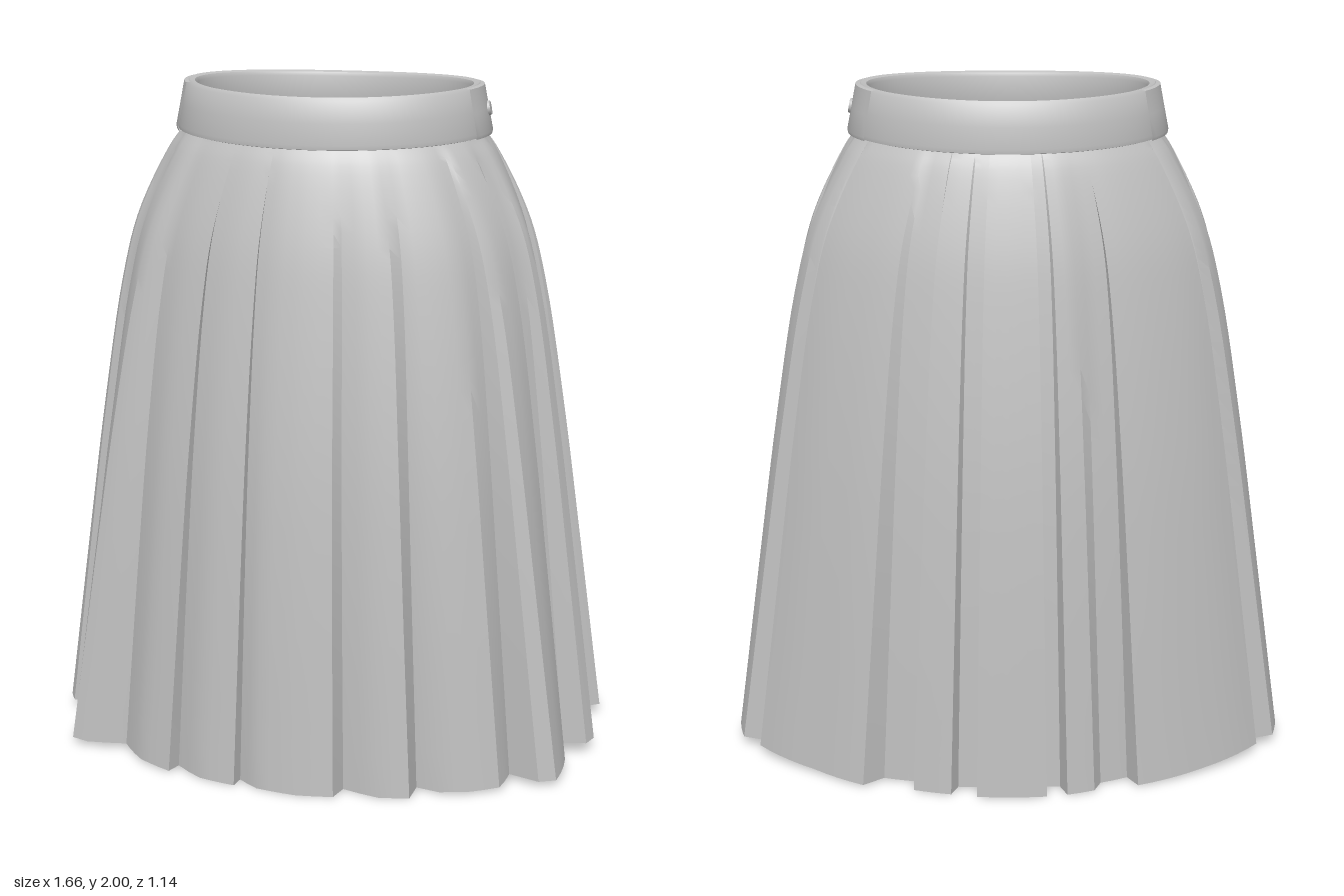
import * as THREE from 'three';
import { toCreasedNormals } from 'three/addons/utils/BufferGeometryUtils.js';

const fabric = new THREE.MeshStandardMaterial({ color: 0xc0c0c0, side: THREE.DoubleSide });
fabric.name = 'greyFabric';

const WAIST = 1.86, HEM_A = 0.835, HEM_B = 0.57;

// Pleated hem outline as x, z pairs, running from the left side round the front
const HEM = [
  .73, -.11, .74, .05, .80, .06, .83, .10, .81, .14, .74, .15, .68, .20,
  .755, .245, .74, .37, .69, .385, .60, .35,
  .58, .43, .50, .465, .41, .48, .34, .46,
  .33, .53, .24, .54, .13, .505,
  .11, .56, 0, .57, -.12, .55, -.18, .505,
  -.19, .545, -.30, .52, -.38, .46,
  -.40, .50, -.50, .45, -.57, .37,
  -.69, .385, -.74, .37, -.755, .245, -.68, .20,
  -.74, .15, -.81, .14, -.83, .10, -.80, .06, -.74, .05, -.73, -.11,
  -.80, -.13, -.83, -.15, -.81, -.24, -.74, -.26, -.68, -.25,
  -.755, -.29, -.58, -.42, -.38, -.51, -.35, -.46, -.27, -.49,
  -.25, -.535, -.17, -.56, -.15, -.51, -.09, -.51,
  -.11, -.57, 0, -.575, .095, -.57, .08, -.51, .15, -.51,
  .17, -.555, .28, -.53, .26, -.48, .37, -.46,
  .43, -.505, .58, -.42, .755, -.29, .68, -.25,
  .74, -.26, .81, -.24, .83, -.15, .80, -.13
];

// Surface through a grid of points; row index runs downward on the outside
function loft(name, rows, cols, point, crease) {
  const pos = [], index = [];
  for (let j = 0; j < rows; j++)
    for (let i = 0; i < cols; i++) pos.push(...point(i, j));
  for (let j = 0; j < rows - 1; j++)
    for (let i = 0; i < cols - 1; i++) {
      const a = j * cols + i, b = a + 1, c = a + cols, d = c + 1;
      index.push(c, a, b, c, b, d);
    }
  const g = new THREE.BufferGeometry();
  g.setAttribute('position', new THREE.Float32BufferAttribute(pos, 3));
  g.setIndex(index);
  const mesh = new THREE.Mesh(toCreasedNormals(g, crease), fabric);
  mesh.name = name;
  return mesh;
}

// Hem outline as angle t and depth ratio k, with each span subdivided
function pleatColumns() {
  const keys = [];
  let last = null;
  const n = HEM.length / 2;
  for (let i = 0; i <= n; i++) {
    const x = HEM[(i % n) * 2] / HEM_A, z = HEM[(i % n) * 2 + 1] / HEM_B;
    let t = Math.atan2(z, x);
    if (last !== null) t = last + Math.atan2(Math.sin(t - last), Math.cos(t - last));
    keys.push([t, Math.hypot(x, z)]);
    last = t;
  }
  const cols = [];
  for (let i = 0; i < n; i++) {
    const [t0, k0] = keys[i], [t1, k1] = keys[i + 1];
    const steps = Math.max(1, Math.ceil(Math.abs(t1 - t0) / 0.07));
    for (let s = 0; s < steps; s++) {
      const f = s / steps;
      cols.push([t0 + (t1 - t0) * f, k0 + (k1 - k0) * f]);
    }
  }
  cols.push(keys[n]);
  return cols;
}

function pleatedSkirt() {
  // Half width, height and half depth from waist to hem
  const side = new THREE.CatmullRomCurve3([
    [.445, 1.86, .312], [.487, 1.8, .342], [.583, 1.6, .40], [.635, 1.4, .437],
    [.70, 1.0, .493], [.755, .6, .53], [HEM_A, 0, HEM_B]
  ].map(p => new THREE.Vector3(...p)));
  const cols = pleatColumns(), rows = 33;
  return loft('pleatedSkirt', rows, cols.length, (i, j) => {
    const [t, k] = cols[i], p = side.getPoint(j / (rows - 1));
    const s = THREE.MathUtils.clamp((WAIST - p.y) / WAIST, 0, 1);
    const r = 1 + (k - 1) * Math.pow(s, 0.6);
    const lift = 0.04 * Math.pow(Math.abs(Math.cos(t)), 3) * s;
    return [p.x * r * Math.cos(t), p.y + lift, p.z * r * Math.sin(t) - 0.01 * (1 - s)];
  }, 0.5);
}

// Closed-profile band of elliptical rings: [half width, y, half depth]
function band(name, profile, t0, t1, steps) {
  return loft(name, profile.length, steps + 1, (i, j) => {
    const t = t0 + (t1 - t0) * i / steps, [a, y, b] = profile[j];
    const dip = -0.012 * Math.pow(Math.sin(t), 2);
    return [a * Math.cos(t), y + dip, b * Math.sin(t) - 0.01];
  }, 0.7);
}

export function createModel() {
  const model = new THREE.Group();
  model.name = 'pleatedSkirtModel';
  model.add(pleatedSkirt());

  // Waistband with inner face, rolled top and lower edge
  model.add(band('waistband', [
    [.43, 1.85, .30], [.42, 1.86, .295], [.403, 1.985, .282], [.408, 1.996, .287],
    [.424, 2.0, .30], [.434, 1.99, .308], [.447, 1.93, .317], [.459, 1.87, .327],
    [.458, 1.858, .326], [.43, 1.85, .30]
  ], 0, Math.PI * 2, 96));

  // Overlapping side tabs on the waistband
  const tab = [[.425, 1.998, .30], [.439, 1.996, .313], [.452, 1.93, .322],
    [.465, 1.866, .333], [.463, 1.856, .331], [.44, 1.854, .31]];
  model.add(band('leftTab', tab, -0.5, 0.36, 14));
  model.add(band('rightTab', tab, Math.PI - 0.36, Math.PI + 0.5, 14));

  // Waist button on the left side
  const button = new THREE.Mesh(new THREE.CylinderGeometry(0.02, 0.022, 0.008, 20), fabric);
  button.name = 'button';
  button.rotation.z = -Math.PI / 2 + 0.19;
  button.position.set(0.455, 1.93, -0.01);
  model.add(button);
  return model;
}
